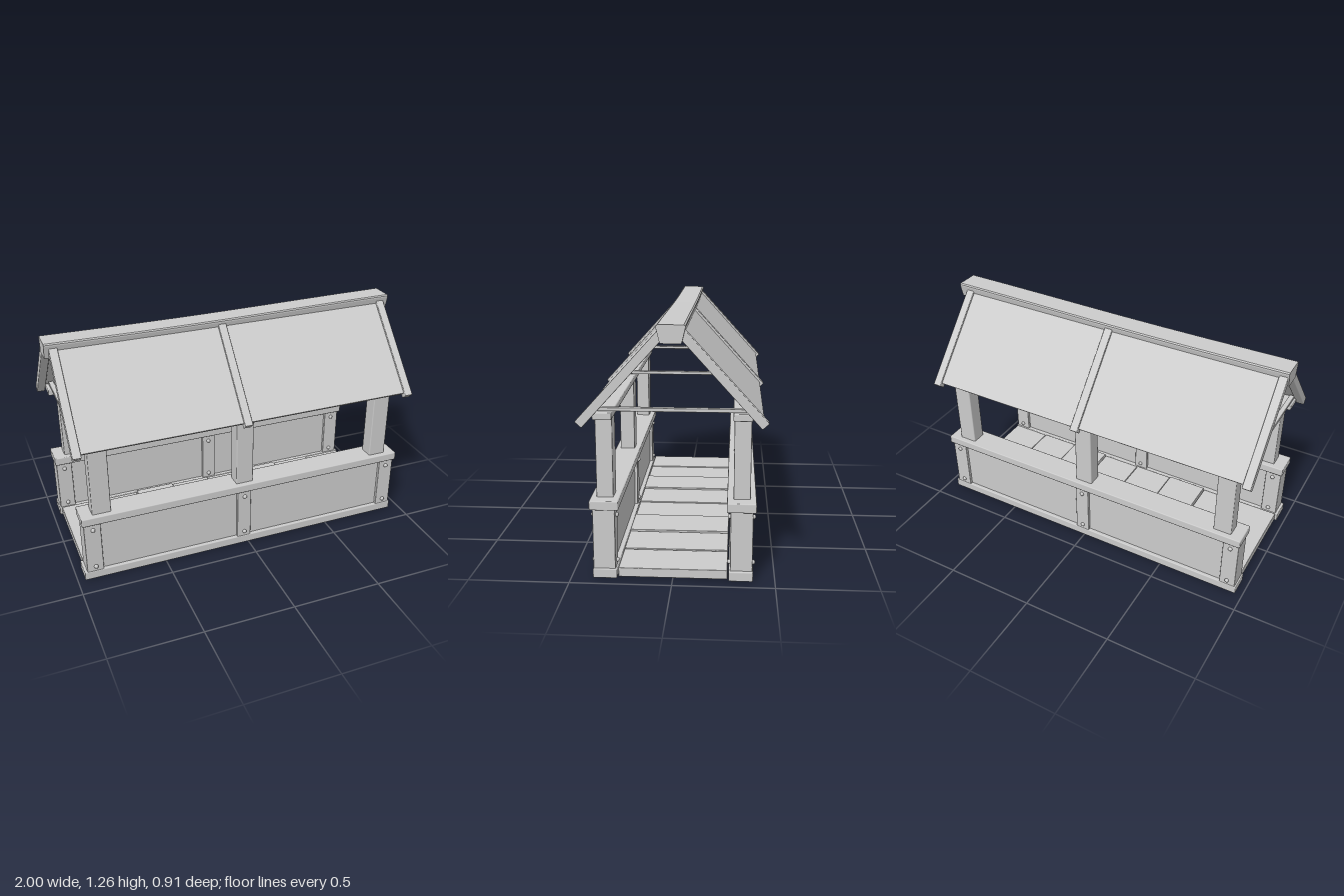
import * as THREE from 'three';
import { RoundedBoxGeometry } from 'three/addons/geometries/RoundedBoxGeometry.js';

const plain = new THREE.MeshStandardMaterial({ color: 0xcccccc });
plain.name = 'plain grey';

// Softly chamfered beam given by its extents on each axis
function beam(parent, name, [x0, x1], [y0, y1], [z0, z1], bevel = 0.006) {
  const mesh = new THREE.Mesh(new RoundedBoxGeometry(x1 - x0, y1 - y0, z1 - z0, 1, bevel), plain);
  mesh.position.set((x0 + x1) / 2, (y0 + y1) / 2, (z0 + z1) / 2);
  mesh.name = name;
  parent.add(mesh);
  return mesh;
}

// Low wall with framed panels, rivets, posts and eave plate
function createWall() {
  const wall = new THREE.Group();
  wall.name = 'sideWall';
  beam(wall, 'baseBeam', [-0.96, 0.94], [0.005, 0.055], [0.273, 0.393]);
  beam(wall, 'handRail', [-0.955, 0.94], [0.357, 0.405], [0.262, 0.405]);
  beam(wall, 'eavePlate', [-0.94, 0.93], [0.805, 0.842], [0.287, 0.38]);

  const stiles = [[-0.945, -0.853], [-0.07, 0.012], [0.842, 0.932]];
  stiles.forEach((span) => beam(wall, 'wallStile', span, [0.045, 0.365], [0.28, 0.39], 0.004));
  beam(wall, 'panelLeft', [-0.87, -0.06], [0.045, 0.365], [0.297, 0.374], 0.003);
  beam(wall, 'panelRight', [0, 0.86], [0.045, 0.365], [0.297, 0.374], 0.003);

  // Rivets on both faces of every stile
  const rivetGeometry = new THREE.SphereGeometry(0.012, 10, 8);
  for (const x of [-0.896, -0.027, 0.886])
    for (const y of [0.083, 0.32])
      for (const z of [0.278, 0.392]) {
        const rivet = new THREE.Mesh(rivetGeometry, plain);
        rivet.name = 'rivet';
        rivet.position.set(x, y, z);
        wall.add(rivet);
      }

  const posts = [[-0.89, -0.787], [-0.072, 0.028], [0.775, 0.876]];
  posts.forEach((span) => beam(wall, 'roofPost', span, [0.395, 0.815], [0.293, 0.376]));
  return wall;
}

// One roof slope, built flat along its own length and then tilted
function createSlope() {
  const slope = new THREE.Group();
  slope.name = 'roofSlope';
  const top = new THREE.Vector2(0.045, 1.225), end = new THREE.Vector2(0.439, 0.791);
  const length = top.distanceTo(end);
  slope.position.set(0, top.y, top.x);
  slope.rotation.x = Math.atan2(top.y - end.y, end.x - top.x);
  beam(slope, 'roofPanel', [-0.945, 0.945], [-0.01, 0.01], [-0.01, length - 0.02], 0.002);
  for (const x of [-0.953, -0.033, 0.951])
    beam(slope, 'rafter', [x - 0.023, x + 0.023], [-0.022, 0.022], [-0.01, length], 0.005);
  return slope;
}

// Tapered ridge beam with a slightly sagging top line
function createRidge() {
  const profile = new THREE.Shape([
    [-0.046, 1.178], [0.046, 1.178], [0.051, 1.184], [0.067, 1.25], [0.067, 1.258],
    [0.06, 1.264], [-0.06, 1.264], [-0.067, 1.258], [-0.067, 1.25], [-0.051, 1.184],
  ].map(([z, y]) => new THREE.Vector2(-z, y)).reverse());
  const geometry = new THREE.ExtrudeGeometry(profile, { depth: 2, steps: 8, bevelEnabled: false });
  geometry.translate(0, 0, -1).rotateY(Math.PI / 2);
  const p = geometry.attributes.position;
  for (let i = 0; i < p.count; i++) {
    const x = p.getX(i);
    p.setY(i, p.getY(i) - 0.005 * Math.cos(x * 2.5 + 0.6));
  }
  geometry.computeVertexNormals();
  const ridge = new THREE.Mesh(geometry, plain);
  ridge.name = 'ridgeBeam';
  return ridge;
}

export function createModel() {
  const model = new THREE.Group();
  model.name = 'coveredBridge';

  // The back half is the front half turned around, slightly offset
  for (const back of [false, true]) {
    const half = new THREE.Group();
    half.name = back ? 'backHalf' : 'frontHalf';
    half.add(createWall(), createSlope());
    if (back) {
      half.rotation.y = Math.PI;
      half.position.x = -0.02;
    }
    model.add(half);
  }
  model.add(createRidge());

  // Thin tie beams across the width
  for (const x of [-0.92, -0.01, 0.9])
    beam(model, 'tieBeam', [x - 0.014, x + 0.014], [0.846, 0.864], [-0.355, 0.355], 0.003);

  // Floor planks laid across, at slightly uneven heights
  const count = 8, width = 1.88 / count;
  for (let i = 0; i < count; i++) {
    const x = -0.95 + i * width, lift = [0, 0.012, 0.004][(i + 2) % 3];
    beam(model, 'floorPlank', [x + 0.002, x + width - 0.002], [0.01 + lift, 0.058 + lift], [-0.268, 0.268], 0.004);
  }
  return model;
}
